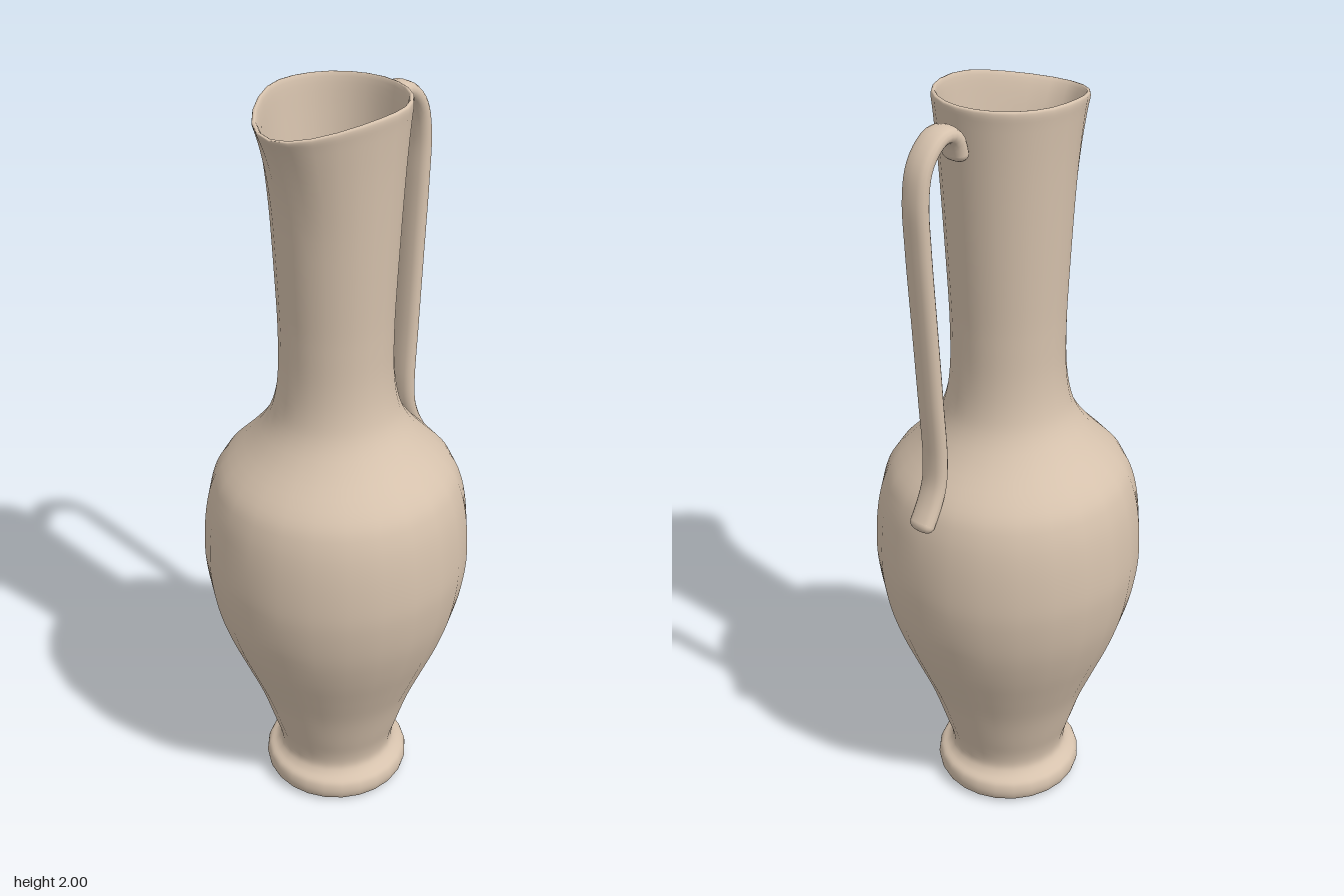
import * as THREE from 'three';
import { mergeVertices } from 'three/addons/utils/BufferGeometryUtils.js';

const SIDES = 24;

// Weld the seam and recompute smooth normals after reshaping
function smooth(geometry) {
  geometry.deleteAttribute('uv');
  geometry.deleteAttribute('normal');
  const welded = mergeVertices(geometry, 1e-5);
  welded.computeVertexNormals();
  return welded;
}

function reshape(geometry, rule) {
  const p = geometry.attributes.position;
  const v = new THREE.Vector3();
  for (let i = 0; i < p.count; i++) {
    v.fromBufferAttribute(p, i);
    rule(v);
    p.setXYZ(i, v.x, v.y, v.z);
  }
  return geometry;
}

// Draw the front of the mouth forward and down into a pouring lip
function pullSpout(v) {
  const t = Math.max(0, (v.y - 1.68) / 0.32);
  const front = Math.max(0, v.z / (Math.hypot(v.x, v.z) || 1));
  v.z += 0.056 * t * t * front ** 3;
  v.y -= 0.038 * t * t * front ** 2;
}

export function createModel() {
  const group = new THREE.Group();
  const clay = new THREE.MeshStandardMaterial({ color: 0xd6c2ad });
  clay.name = 'clay';

  const add = (name, geometry) => {
    const mesh = new THREE.Mesh(geometry, clay);
    mesh.name = name;
    group.add(mesh);
    return mesh;
  };

  // Foot, belly, neck, rim and inner wall as one turned profile
  const profile = new THREE.SplineCurve([
    [0.172, 0], [0.192, 0.01], [0.2, 0.035], [0.194, 0.062], [0.172, 0.078],
    [0.16, 0.1], [0.165, 0.14], [0.184, 0.2], [0.216, 0.3], [0.257, 0.4],
    [0.298, 0.5], [0.33, 0.6], [0.348, 0.7], [0.352, 0.78], [0.345, 0.88],
    [0.328, 0.96], [0.298, 1.02], [0.222, 1.1], [0.178, 1.16], [0.157, 1.22],
    [0.147, 1.3], [0.146, 1.4], [0.149, 1.5], [0.159, 1.7], [0.168, 1.85],
    [0.176, 1.95], [0.18, 1.99], [0.176, 2], [0.167, 1.99], [0.158, 1.9],
    [0.14, 1.7], [0.122, 1.4], [0.1, 0.9], [0.073, 0.2],
  ].map(([r, y]) => new THREE.Vector2(r, y)));
  const body = new THREE.LatheGeometry(profile.getPoints(132), SIDES);
  add('jugBody', smooth(reshape(body, pullSpout)));

  // Flat underside and inner floor
  add('underside', new THREE.CircleGeometry(0.172, SIDES).rotateX(Math.PI / 2));
  const floor = add('innerFloor', new THREE.CircleGeometry(0.0735, SIDES).rotateX(-Math.PI / 2));
  floor.position.y = 0.2;

  // Strap handle: a tube widened sideways into a rounded band
  const path = new THREE.CatmullRomCurve3([
    [1.9, -0.19], [1.93, -0.199], [1.951, -0.22], [1.952, -0.25], [1.93, -0.284],
    [1.89, -0.311], [1.82, -0.324], [1.7, -0.32], [1.5, -0.306], [1.3, -0.292],
    [1.14, -0.282], [1.07, -0.288], [1.02, -0.307], [0.973, -0.334],
  ].map(([y, z]) => new THREE.Vector3(0, y, z)));
  const thick = 0.021, halfWidth = 0.036;
  const strap = new THREE.TubeGeometry(path, 72, thick, 16);
  const widen = (v) => {
    v.x = halfWidth * Math.sign(v.x) * Math.min(1, Math.abs(v.x) / thick) ** 0.7 - 0.004;
  };
  add('handleStrap', smooth(reshape(strap, widen)));

  // Rounded ends of the strap
  for (const [name, t] of [['handleTopEnd', 0], ['handleLowerEnd', 1]]) {
    const end = add(name, smooth(reshape(new THREE.SphereGeometry(thick, 16, 12), widen)));
    end.position.copy(path.getPoint(t));
  }
  return group;
}
